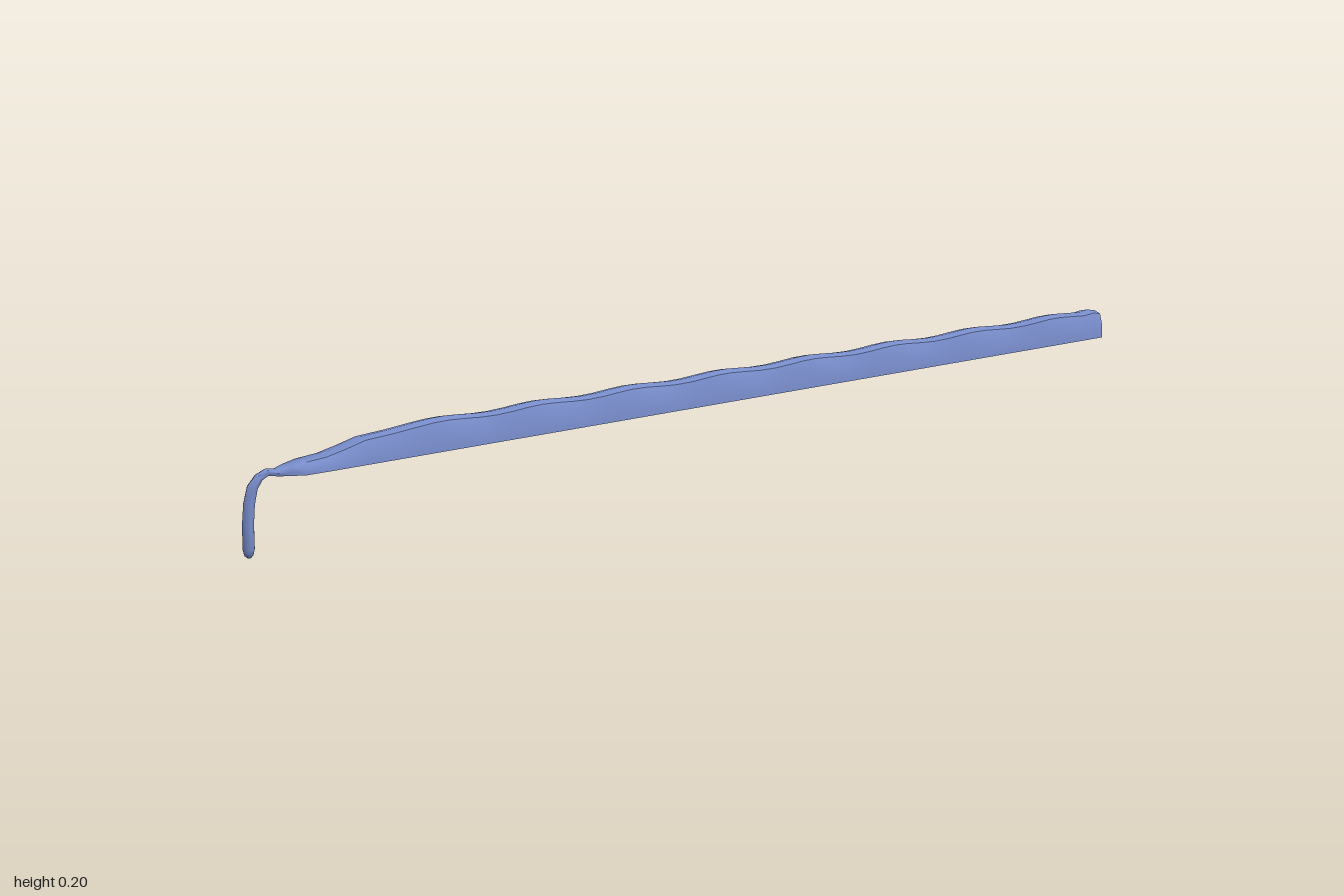
import * as THREE from 'three';
import { toCreasedNormals } from 'three/addons/utils/BufferGeometryUtils.js';

// Unit sections as [across, height], counter-clockwise from bottom left
const beamSection = [[-1, 0], [0, 0], [1, 0], [0.97, 0.5], [0.74, 0.92], [0.2, 1], [-0.42, 0.92], [-0.74, 0.48]];
const roundSection = beamSection.map((_, i) => {
  const a = (-0.75 + i * 0.25) * Math.PI;
  return [Math.cos(a), 0.5 + 0.5 * Math.sin(a)];
});

// One ring: inner and outer edge as [z, y], half width, blend from round (0) to beam (1)
function ring(inner, outer, w, k, sway = 0) {
  return beamSection.map(([bx, bv], i) => {
    const [rx, rv] = roundSection[i];
    const x = THREE.MathUtils.lerp(rx, bx, k) * w + (bv > 0.6 ? sway : 0);
    const v = THREE.MathUtils.lerp(rv, bv, k);
    return [x,
      THREE.MathUtils.lerp(inner[1], outer[1], v),
      THREE.MathUtils.lerp(inner[0], outer[0], v)];
  });
}

// Closed skin over rings ordered front to back
function loft(rings) {
  const n = rings[0].length;
  const pos = rings.flat(2);
  const index = [];
  for (let i = 0; i < rings.length - 1; i++) {
    for (let j = 0; j < n; j++) {
      const a = i * n + j, b = i * n + (j + 1) % n;
      index.push(a, a + n, b, b, a + n, b + n);
    }
  }
  const last = (rings.length - 1) * n;
  for (let j = 1; j < n - 1; j++) {
    index.push(0, j, j + 1);
    index.push(last, last + j + 1, last + j);
  }
  const g = new THREE.BufferGeometry();
  g.setAttribute('position', new THREE.Float32BufferAttribute(pos, 3));
  g.setIndex(index);
  return toCreasedNormals(g, 0.85);
}

export function createModel() {
  const group = new THREE.Group();
  const material = new THREE.MeshStandardMaterial({ color: 0x7b90d0 });

  // Hanging hook, from its rounded tip up around the bend
  const hook = [
    ring([0.984, 0], [0.991, 0], 0.003, 0),
    ring([0.979, 0.005], [0.997, 0.005], 0.0065, 0),
    ring([0.976, 0.016], [1, 0.016], 0.0085, 0),
    ring([0.976, 0.06], [1, 0.06], 0.0085, 0),
    ring([0.973, 0.095], [0.996, 0.1], 0.0085, 0),
    ring([0.967, 0.122], [0.987, 0.13], 0.0085, 0),
    ring([0.958, 0.136], [0.97, 0.148], 0.008, 0),
    ring([0.947, 0.142], [0.95, 0.156], 0.008, 0.1),
  ];

  // Neck widening and rising into the beam
  const neck = [
    [0.93, 0.153, 0.013, 0.4], [0.91, 0.158, 0.022, 0.7], [0.885, 0.163, 0.03, 1],
    [0.84, 0.167, 0.031, 1], [0.8, 0.176, 0.031, 1], [0.76, 0.187, 0.031, 1], [0.7, 0.191, 0.031, 1],
  ].map(([z, top, w, k]) => ring([z, 0.14], [z, top], w, k));

  // Long beam with a gently rippled ridge
  const beam = [];
  for (let i = 0; i <= 48; i++) {
    const z = 0.65 - i * 0.0335;
    const phase = (z - 0.6) / 0.21 * Math.PI * 2;
    const top = 0.1965 + 0.003 * Math.cos(phase);
    beam.push(ring([z, 0.14], [z, top], 0.031, 1, 0.002 * Math.sin(phase)));
  }
  // Blunt rear end
  beam.push(ring([-0.98, 0.14], [-0.98, 0.197], 0.031, 1));
  beam.push(ring([-1, 0.14], [-1, 0.193], 0.0305, 1));

  const mesh = new THREE.Mesh(loft([...hook, ...neck, ...beam]), material);
  mesh.name = 'hookedBeam';
  group.add(mesh);
  return group;
}
